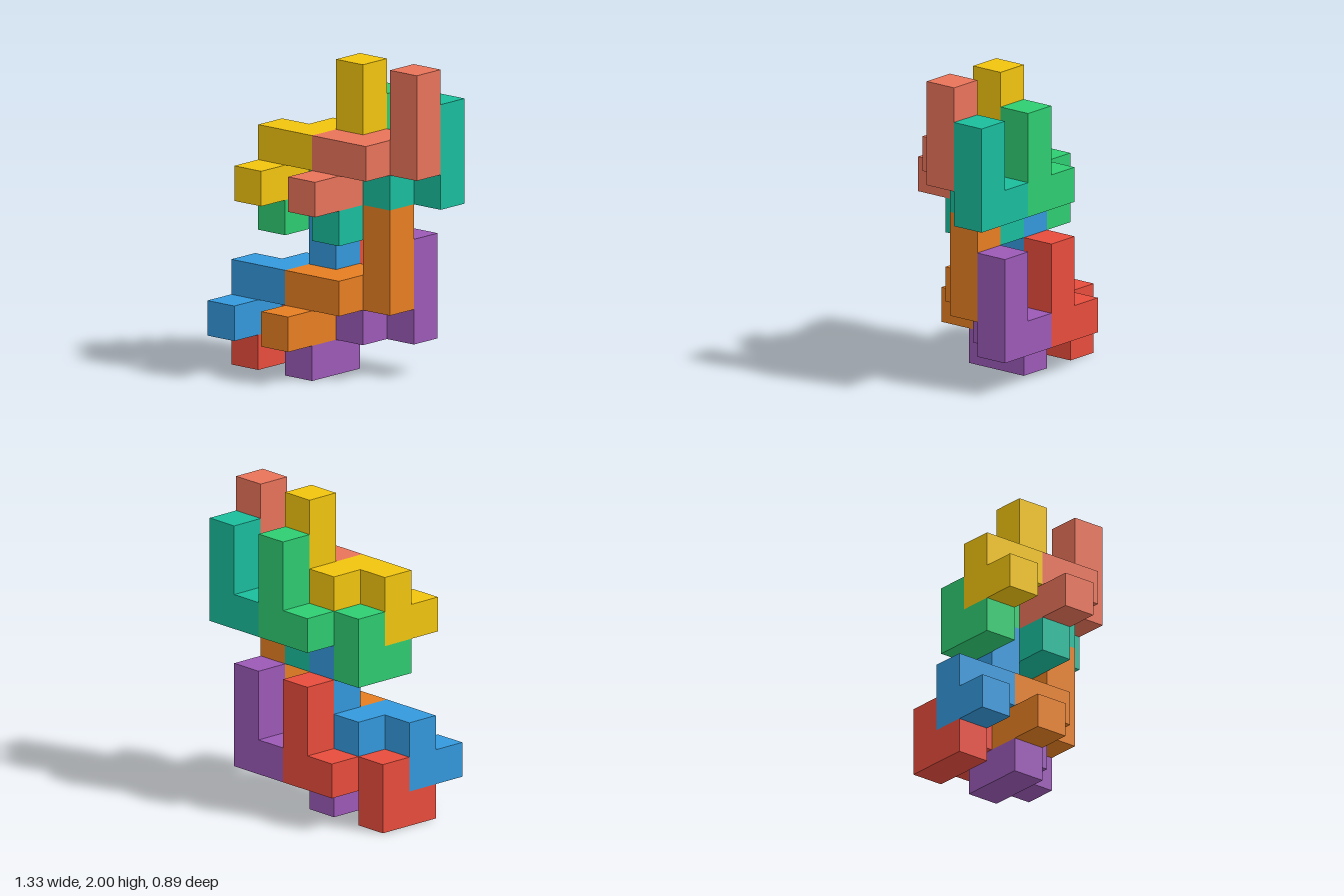
import * as THREE from 'three';
import { mergeGeometries } from 'three/addons/utils/BufferGeometryUtils.js';

const U = 2 / 9; // edge of one cube cell

// One puzzle piece: a stepped path of cells ending in an upright post
const CELLS = [
  [0, 0, 0], [0, 0, -1],               // foot
  [0, 1, -1], [1, 1, -1], [1, 1, -2],  // zigzag step
  [2, 1, -2], [2, 2, -2], [2, 3, -2],  // post
];

// Outward directions with the rotation that turns a +z plane to face them
const SIDES = [
  [[0, 0, 1], 0, 0], [[0, 0, -1], 0, Math.PI],
  [[1, 0, 0], 0, Math.PI / 2], [[-1, 0, 0], 0, -Math.PI / 2],
  [[0, 1, 0], -Math.PI / 2, 0], [[0, -1, 0], Math.PI / 2, 0],
];

// Closed skin of the piece: only cell sides without a neighbour get a face
function pieceGeometry() {
  const filled = new Set(CELLS.map(String));
  const faces = [];
  for (const cell of CELLS) {
    for (const [dir, rx, ry] of SIDES) {
      if (filled.has(String(cell.map((c, i) => c + dir[i])))) continue;
      const face = new THREE.PlaneGeometry(U, U).rotateX(rx).rotateY(ry);
      face.translate(...cell.map((c, i) => (c + dir[i] / 2) * U));
      faces.push(face);
    }
  }
  return mergeGeometries(faces);
}

// Name, colour and first cell (column, layer, row from the back)
const PIECES = [
  ['lowerBackRightPiece', 0xe74c3c, [0, 0, 2]],
  ['lowerBackLeftPiece', 0x9b59b6, [2, 0, 2]],
  ['lowerFrontRightPiece', 0x3498db, [0, 1, 3]],
  ['lowerFrontLeftPiece', 0xe67e22, [2, 1, 3]],
  ['upperBackRightPiece', 0x2ecc71, [1, 4, 2]],
  ['upperBackLeftPiece', 0x1abc9c, [3, 4, 2]],
  ['upperFrontRightPiece', 0xf1c40f, [1, 5, 3]],
  ['upperFrontLeftPiece', 0xe8735a, [3, 5, 3]],
];

export function createModel() {
  const model = new THREE.Group();
  model.name = 'interlockingPieces';
  const geometry = pieceGeometry();
  for (const [name, color, [i, j, k]] of PIECES) {
    const piece = new THREE.Mesh(geometry, new THREE.MeshStandardMaterial({ color }));
    piece.name = name;
    // grid is 6 columns wide, 9 layers high and 4 rows deep
    piece.position.set((i - 2.5) * U, (j + 0.5) * U, (k - 1.5) * U);
    model.add(piece);
  }
  return model;
}
